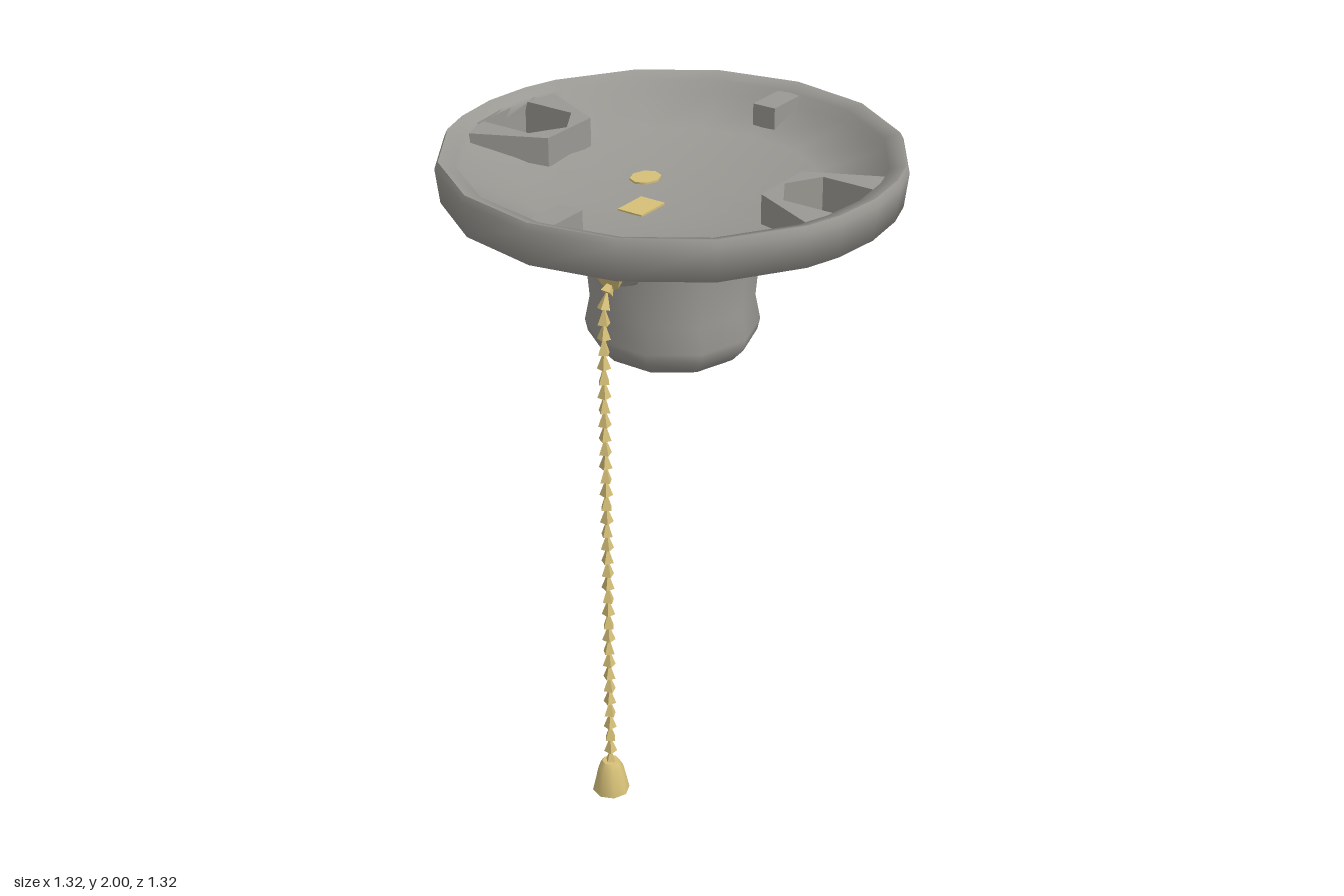
import * as THREE from 'three';
import { mergeGeometries, toCreasedNormals } from 'three/addons/utils/BufferGeometryUtils.js';

const grey = new THREE.MeshStandardMaterial({ color: 0x9b9994, side: THREE.DoubleSide });
grey.name = 'grey porcelain';
const brass = new THREE.MeshStandardMaterial({ color: 0xd6c078, side: THREE.DoubleSide });
brass.name = 'brass';

const FLOOR = 1.87;
// underside slope of the canopy
const flankY = (r) => 1.73 + 0.375 * (r - 0.25);
// five-sided screw pocket
const pocket = [[0, 0.37], [-0.1, 0.43], [-0.1, 0.6], [0.1, 0.6], [0.1, 0.43]]
  .map(([x, y]) => new THREE.Vector2(x, y));

function add(group, name, geometry, material) {
  const mesh = new THREE.Mesh(geometry, material);
  mesh.name = name;
  group.add(mesh);
  return mesh;
}

function flat(geometry) {
  const g = geometry.index ? geometry.toNonIndexed() : geometry;
  g.computeVertexNormals();
  return g;
}

function lathe(points, sides) {
  return new THREE.LatheGeometry(points.map(([r, y]) => new THREE.Vector2(r, y)), sides);
}

// round dish: profile rows swept over angle columns, leaving two screw pockets
function canopyGeometry() {
  const angles = [];
  for (let k = 0; k < 16; k++) {
    if (k % 8 === 4) angles.push(k * 22.5 - 13, k * 22.5, k * 22.5 + 13);
    else angles.push(k * 22.5);
  }
  const rows = [
    { r: 0.25 }, { r: 0.42, hole: 'inner' }, { r: 0.6, hole: 'outer', open: true }, { r: 0.65 },
    { r: 0.662, y: 1.98 }, { r: 0.652, y: 2 }, { r: 0.605, y: 1.985 },
    { r: 0.6, y: 1.95, hole: 'outer' }, { r: 0.42, y: 1.9, hole: 'inner', open: true },
    { r: 0.2, y: FLOOR }, { r: 0, y: FLOOR },
  ];
  const nearHole = (a) => Math.abs((a % 180) - 90) < 14;
  const pos = [];
  const index = [];
  const n = angles.length;
  for (const row of rows) {
    for (const a of angles) {
      const t = THREE.MathUtils.degToRad(a);
      let x = row.r * Math.cos(t);
      let z = row.r * Math.sin(t);
      if (row.hole && nearHole(a)) {
        const middle = a % 180 === 90;
        x = middle ? 0 : Math.sign(x) * 0.1;
        z = Math.sign(z) * (row.hole === 'outer' ? 0.6 : middle ? 0.37 : 0.43);
      }
      pos.push(x, row.y ?? flankY(Math.hypot(x, z)), z);
    }
  }
  for (let i = 0; i < rows.length - 1; i++) {
    for (let j = 0; j < n; j++) {
      const k = (j + 1) % n;
      if (rows[i + 1].open && nearHole(angles[j]) && nearHole(angles[k])) continue;
      const a = i * n + j, b = a + n, c = i * n + k, d = c + n;
      index.push(a, b, c);
      if (i < rows.length - 2) index.push(c, b, d);
    }
  }
  const g = new THREE.BufferGeometry();
  g.setAttribute('position', new THREE.Float32BufferAttribute(pos, 3));
  g.setIndex(index);
  return toCreasedNormals(g, 1.25);
}

// raised trapezoid around a screw pocket, its foot following the slope
function bossGeometry() {
  const shape = new THREE.Shape(
    [[-0.1, 0.36], [0.1, 0.36], [0.2, 0.57], [0.1, 0.62], [-0.1, 0.62], [-0.2, 0.57]]
      .map(([x, y]) => new THREE.Vector2(x, y)));
  shape.holes.push(new THREE.Path(pocket));
  const g = new THREE.ExtrudeGeometry(shape, { depth: 1, bevelEnabled: false, steps: 1 });
  g.rotateX(-Math.PI / 2);
  const p = g.attributes.position;
  for (let i = 0; i < p.count; i++) {
    const foot = flankY(Math.hypot(p.getX(i), p.getZ(i))) + 0.008;
    p.setY(i, p.getY(i) > 0.5 ? 1.978 : foot);
  }
  return flat(g);
}

// sheet closing the pocket, rising slightly towards the rim
function pocketFloorGeometry() {
  const g = new THREE.ShapeGeometry(new THREE.Shape(pocket));
  g.rotateX(-Math.PI / 2);
  const p = g.attributes.position;
  for (let i = 0; i < p.count; i++) p.setY(i, 1.83 + 0.18 * (-p.getZ(i) - 0.4));
  return flat(g);
}

// cylinder running from one point to another
function tubeBetween(from, to, r0, r1, sides) {
  const a = new THREE.Vector3(...from), b = new THREE.Vector3(...to);
  const dir = b.clone().sub(a);
  const g = new THREE.CylinderGeometry(r1, r0, dir.length(), sides);
  g.applyQuaternion(new THREE.Quaternion().setFromUnitVectors(
    new THREE.Vector3(0, 1, 0), dir.clone().normalize()));
  const m = a.add(b).multiplyScalar(0.5);
  return g.translate(m.x, m.y, m.z);
}

export function createModel() {
  const model = new THREE.Group();
  model.name = 'pullChainLampHolder';

  add(model, 'canopy', canopyGeometry(), grey);
  for (const side of [0, 1]) {
    const screw = new THREE.Group();
    screw.name = side ? 'frontScrewMount' : 'backScrewMount';
    add(screw, 'boss', bossGeometry(), grey);
    add(screw, 'pocketFloor', pocketFloorGeometry(), grey);
    screw.rotation.y = side * Math.PI;
    model.add(screw);
    const rib = add(model, side ? 'leftRib' : 'rightRib', new THREE.BoxGeometry(0.15, 0.09, 0.075), grey);
    rib.position.set(side ? 0.54 : -0.54, 1.935, 0);
  }

  // socket with its hollow bore
  const socket = lathe([[0, 1.62], [0.15, 1.62], [0.165, 1.4], [0.208, 1.4], [0.245, 1.44],
    [0.253, 1.475], [0.238, 1.55], [0.255, 1.74]], 10);
  add(model, 'socket', toCreasedNormals(socket, 1), grey);

  // chain outlet
  add(model, 'outletHousing', toCreasedNormals(
    tubeBetween([-0.2, 1.75, 0], [-0.27, 1.725, 0], 0.1, 0.06, 8), 0.9), grey);
  add(model, 'outletNozzle', toCreasedNormals(
    tubeBetween([-0.25, 1.735, 0], [-0.31, 1.715, 0], 0.03, 0.04, 8), 0.6), brass);

  // contacts on the dish floor
  const contactA = add(model, 'sideContact', new THREE.BoxGeometry(0.11, 0.006, 0.08), brass);
  contactA.position.set(-0.15, FLOOR + 0.003, 0);
  const contactB = add(model, 'centreContact', new THREE.CylinderGeometry(0.05, 0.05, 0.006, 8), brass);
  contactB.position.set(0.03, FLOOR + 0.003, -0.115);
  contactB.scale.z = 0.85;

  // pull chain of small pointed beads
  const path = new THREE.CatmullRomCurve3([[-0.33, 0.1], [-0.33, 0.8], [-0.33, 1.56],
    [-0.32, 1.66], [-0.28, 1.71]].map(([x, y]) => new THREE.Vector3(x, y, 0)));
  const beads = [];
  const count = 36;
  for (let i = 0; i < count; i++) {
    const p = path.getPointAt((i + 0.5) / count);
    const t = path.getTangentAt((i + 0.5) / count);
    const bead = new THREE.ConeGeometry(0.02, 0.055, 4);
    bead.rotateY(i * 0.7);
    bead.applyQuaternion(new THREE.Quaternion().setFromUnitVectors(new THREE.Vector3(0, 1, 0), t));
    beads.push(flat(bead.translate(p.x, p.y, p.z)));
  }
  add(model, 'pullChain', mergeGeometries(beads), brass);

  // hollow bell at the chain's end
  const bell = lathe([[0, 0.05], [0.035, 0.04], [0.057, 0], [0.038, 0.085], [0.026, 0.105], [0, 0.105]], 8);
  add(model, 'chainBell', toCreasedNormals(bell, 0.9), brass).position.x = -0.33;

  return model;
}
